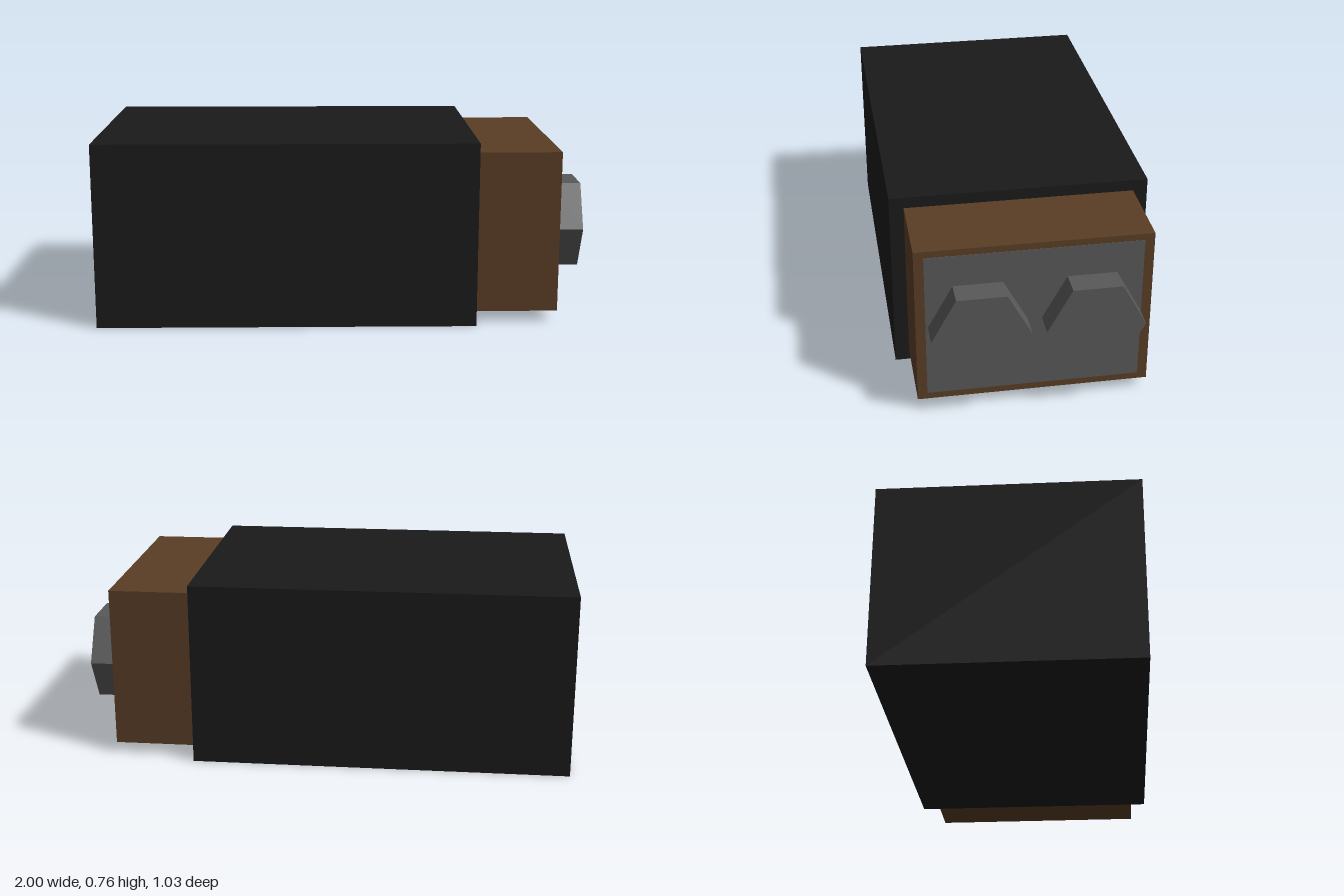
import * as THREE from 'three';

const paint = (color) => new THREE.MeshStandardMaterial({ color, flatShading: true });

// Box given by its x range, y range and half depth
function block(name, [x0, x1], [y0, y1], halfZ, material) {
  const mesh = new THREE.Mesh(new THREE.BoxGeometry(x1 - x0, y1 - y0, halfZ * 2), material);
  mesh.name = name;
  mesh.position.set((x0 + x1) / 2, (y0 + y1) / 2, 0);
  return mesh;
}

export function createModel() {
  const model = new THREE.Group();
  model.name = 'model';
  const black = paint(0x1a1a1a);
  const brown = paint(0x5a3d25);
  const grey = paint(0x595959);

  // Main casing, the narrower collar and its end plate
  model.add(block('casing', [-1, 0.555], [0, 0.76], 0.515, black));
  model.add(block('collar', [0.555, 0.895], [0.047, 0.714], 0.458, brown));
  model.add(block('endPlate', [0.88, 0.897], [0.075, 0.687], 0.42, grey));

  // Two hexagonal terminals, corners pointing along z
  const hexagon = new THREE.CylinderGeometry(0.192, 0.192, 0.11, 6);
  hexagon.rotateZ(-Math.PI / 2);
  hexagon.scale(1, 1.058, 1);
  for (const [name, z] of [['leftTerminal', 0.218], ['rightTerminal', -0.221]]) {
    const terminal = new THREE.Mesh(hexagon, grey);
    terminal.name = name;
    terminal.position.set(0.945, 0.381, z);
    model.add(terminal);
  }
  return model;
}
